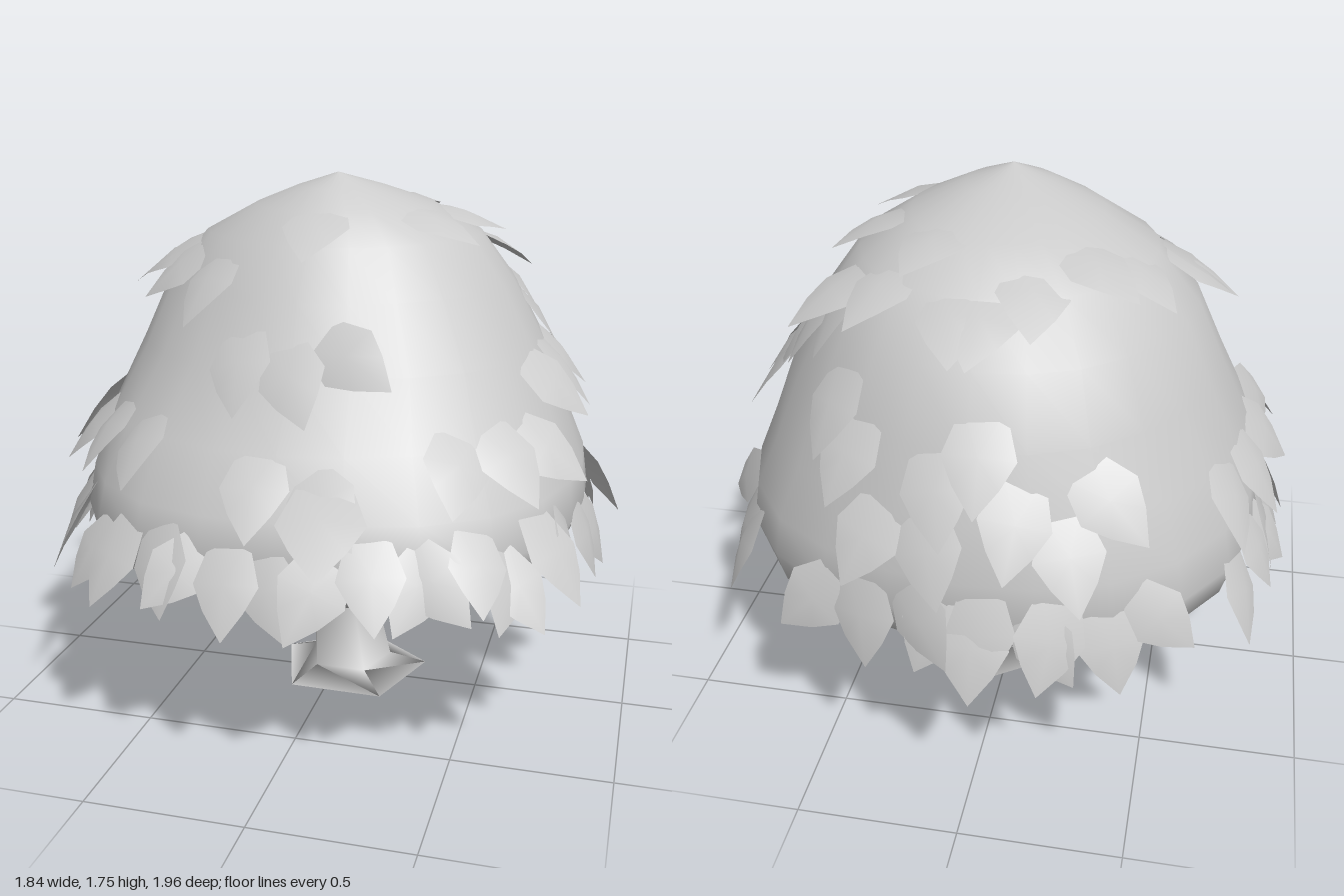
import * as THREE from 'three';

const material = new THREE.MeshStandardMaterial({ color: 0xcccccc });
const leafMaterial = new THREE.MeshStandardMaterial({ color: 0xcccccc, side: THREE.DoubleSide });
const rad = THREE.MathUtils.degToRad;

// Small seeded generator, returns -1..1
let seed = 7;
const jitter = () => {
  seed = (seed * 16807) % 2147483647;
  return (seed / 2147483647) * 2 - 1;
};

// Point on a ring [y, cx, cz, rx, rz]; angle 0 is +z, 90 degrees is +x
const ringPoint = ([y, cx, cz, rx, rz], a, bulge = () => 1) => {
  const k = bulge(a, y);
  return new THREE.Vector3(cx + rx * k * Math.sin(a), y, cz + rz * k * Math.cos(a));
};

// Smooth skin through a stack of rings
function loft(rings, sides, phase = 0, bulge) {
  const positions = [], index = [];
  rings.forEach((ring, i) => {
    for (let j = 0; j < sides; j++) {
      positions.push(...ringPoint(ring, phase + (j / sides) * Math.PI * 2, bulge));
      if (i === rings.length - 1) continue;
      const a = i * sides + j, b = i * sides + ((j + 1) % sides);
      index.push(a, b, a + sides, b, b + sides, a + sides);
    }
  });
  const g = new THREE.BufferGeometry();
  g.setAttribute('position', new THREE.Float32BufferAttribute(positions, 3));
  g.setIndex(index);
  g.computeVertexNormals();
  return g;
}

// Canopy rings, from the middle of the underside, round the rim, to the peak
const canopyRings = [
  [0.65, 0, -0.01, 0, 0],
  [0.61, 0, -0.03, 0.4, 0.4],
  [0.555, 0.01, -0.04, 0.74, 0.75],
  [0.6, 0.01, -0.04, 0.81, 0.82],
  [0.7, 0.01, -0.04, 0.845, 0.845],
  [0.83, 0.01, -0.05, 0.825, 0.83],
  [1.0, 0, -0.08, 0.76, 0.75],
  [1.2, 0.01, -0.11, 0.67, 0.65],
  [1.4, 0, -0.12, 0.57, 0.56],
  [1.55, 0.01, -0.1, 0.45, 0.44],
  [1.64, 0.02, -0.06, 0.29, 0.31],
  [1.7, 0.02, 0, 0.14, 0.15],
  [1.745, 0.02, 0.04, 0, 0],
];

// Canopy outline: slightly squarish near the rim and a little uneven
const canopyBulge = (a, y) =>
  1 - 0.07 * Math.max(0, 1.15 - y) * Math.cos(4 * a) + 0.007 * (Math.sin(3 * a + 4 * y) + Math.sin(5 * a - 3 * y));

// Point on the outer side of the canopy at an angle and height
function canopyPoint(a, y) {
  let i = 3;
  while (i < canopyRings.length - 2 && canopyRings[i + 1][0] < y) i++;
  const lo = canopyRings[i], hi = canopyRings[i + 1];
  const t = (y - lo[0]) / (hi[0] - lo[0]);
  return ringPoint(lo.map((v, k) => v + (hi[k] - v) * t), a, canopyBulge);
}

// Pointed leaf blade, stem at the origin, tip along +y, slightly raised midrib
function leafGeometry() {
  const g = new THREE.BufferGeometry();
  g.setAttribute('position', new THREE.Float32BufferAttribute([
    -0.06, 0, 0, 0.06, 0, 0, 0.105, 0.14, 0, 0.065, 0.22, 0,
    0, 0.31, -0.01, -0.065, 0.22, 0, -0.105, 0.14, 0, 0, 0.14, 0.02,
  ], 3));
  const index = [];
  for (let i = 0; i < 7; i++) index.push(7, i, (i + 1) % 7);
  g.setIndex(index);
  g.computeVertexNormals();
  return g;
}

const blade = leafGeometry();

// Leaf lying on the canopy: roll turns it sideways, tilt lifts its tip
function addLeaf(group, degrees, y, roll, tilt, size = 1) {
  const a = rad(degrees), e = 0.02;
  const across = canopyPoint(a + e, y).sub(canopyPoint(a - e, y));
  const up = canopyPoint(a, y + e).sub(canopyPoint(a, y - e)).normalize();
  const normal = across.cross(up).normalize();
  const along = up.negate().applyAxisAngle(normal, roll);
  const side = along.clone().cross(normal).normalize();
  along.applyAxisAngle(side, tilt);
  normal.applyAxisAngle(side, tilt);
  const leaf = new THREE.Mesh(blade, leafMaterial);
  leaf.name = 'leaf';
  leaf.quaternion.setFromRotationMatrix(new THREE.Matrix4().makeBasis(side, along, normal));
  leaf.position.copy(canopyPoint(a, y)).addScaledVector(normal, -0.02);
  leaf.scale.setScalar(size);
  group.add(leaf);
}

// Scattered leaves: angle, height of the stem, roll
const crownLeaves = [
  [0, 1.68, 0], [60, 1.67, 0], [95, 1.65, 0.2], [150, 1.67, 0], [205, 1.62, -0.3],
  [225, 1.64, 0.3], [250, 1.61, -0.2], [-38, 1.54, 0.3], [-52, 1.54, -0.3],
  [103, 1.4, 0], [108, 1.47, 0.3], [118, 1.53, 0.4], [127, 1.56, -0.2],
  [143, 1.6, 0], [-80, 1.55, 0.2], [-68, 1.55, -0.3], [170, 1.58, 0.2], [185, 1.58, -0.2],
];
const middleLeaves = [
  [-16, 1.34, 0.2], [-4, 1.31, 0.4], [5, 1.33, 0.9],
  [-52, 1.08, 0.2], [-38, 1.07, 0.4], [-62, 1.05, -0.3],
  [-4, 1.03, 0.1], [5, 0.98, 0.6], [42, 1.07, -0.3], [49, 1.08, 0.3], [56, 1.06, 0.8],
  [68, 1.23, 0.5], [88, 1.26, 0], [97, 1.26, 0.4],
  [141, 1.36, 0.2], [152, 1.26, 0], [172, 1.22, 0.3], [184, 1.32, 0],
  [162, 1.05, -0.3], [170, 1.05, 0.3], [194, 1.15, -0.3], [206, 1.17, 0.5], [201, 1.06, 0],
  [248, 1.04, -0.6], [258, 1.06, -0.2], [268, 1.06, 0.3], [280, 1.05, 0.7],
];
// Angles of the three-leaf clusters around the rim
const rimClusters = [-85, -65, -32, -8, 20, 40, 55, 78, 116, 160, 185, 207, 250];

export function createModel() {
  const tree = new THREE.Group();
  tree.name = 'tree';
  const add = (name, geometry) => {
    const mesh = new THREE.Mesh(geometry, material);
    mesh.name = name;
    tree.add(mesh);
  };

  // Five-sided trunk with a flared foot, leaning slightly
  add('trunk', loft([
    [0, 0.045, -0.05, 0, 0],
    [0, 0.045, -0.05, 0.267, 0.264],
    [0.045, 0.04, -0.04, 0.146, 0.146],
    [0.3, 0.025, 0, 0.112, 0.112],
    [0.57, 0, 0, 0.085, 0.082],
    [0.65, 0, 0, 0.06, 0.06],
  ], 5, rad(35)));

  // Bent side branch running up into the canopy
  add('branch', loft([
    [0.3, 0, -0.03, 0.07, 0.05],
    [0.45, -0.21, -0.15, 0.045, 0.035],
    [0.49, -0.235, -0.175, 0.032, 0.03],
    [0.64, -0.29, -0.28, 0.014, 0.014],
  ], 6));

  add('canopy', loft(canopyRings, 24, 0, canopyBulge));

  const leaves = new THREE.Group();
  leaves.name = 'leaves';
  for (const leaf of crownLeaves) addLeaf(leaves, ...leaf, 0.1);
  for (const leaf of middleLeaves) addLeaf(leaves, ...leaf, 0.24);
  for (const angle of rimClusters) {
    for (const k of [-1, 0, 1]) {
      addLeaf(leaves, angle + k * 6 + jitter() * 2, 0.79 + jitter() * 0.04 - k * k * 0.02,
        k * 0.5 + jitter() * 0.2, 0.31 + jitter() * 0.08, 0.95 + jitter() * 0.08);
    }
  }
  // Two leaves that stick out furthest, front and back
  addLeaf(leaves, 11, 0.95, 0, 0.6, 1.22);
  addLeaf(leaves, 183, 0.79, 0, 0.42, 1.05);
  tree.add(leaves);
  return tree;
}
